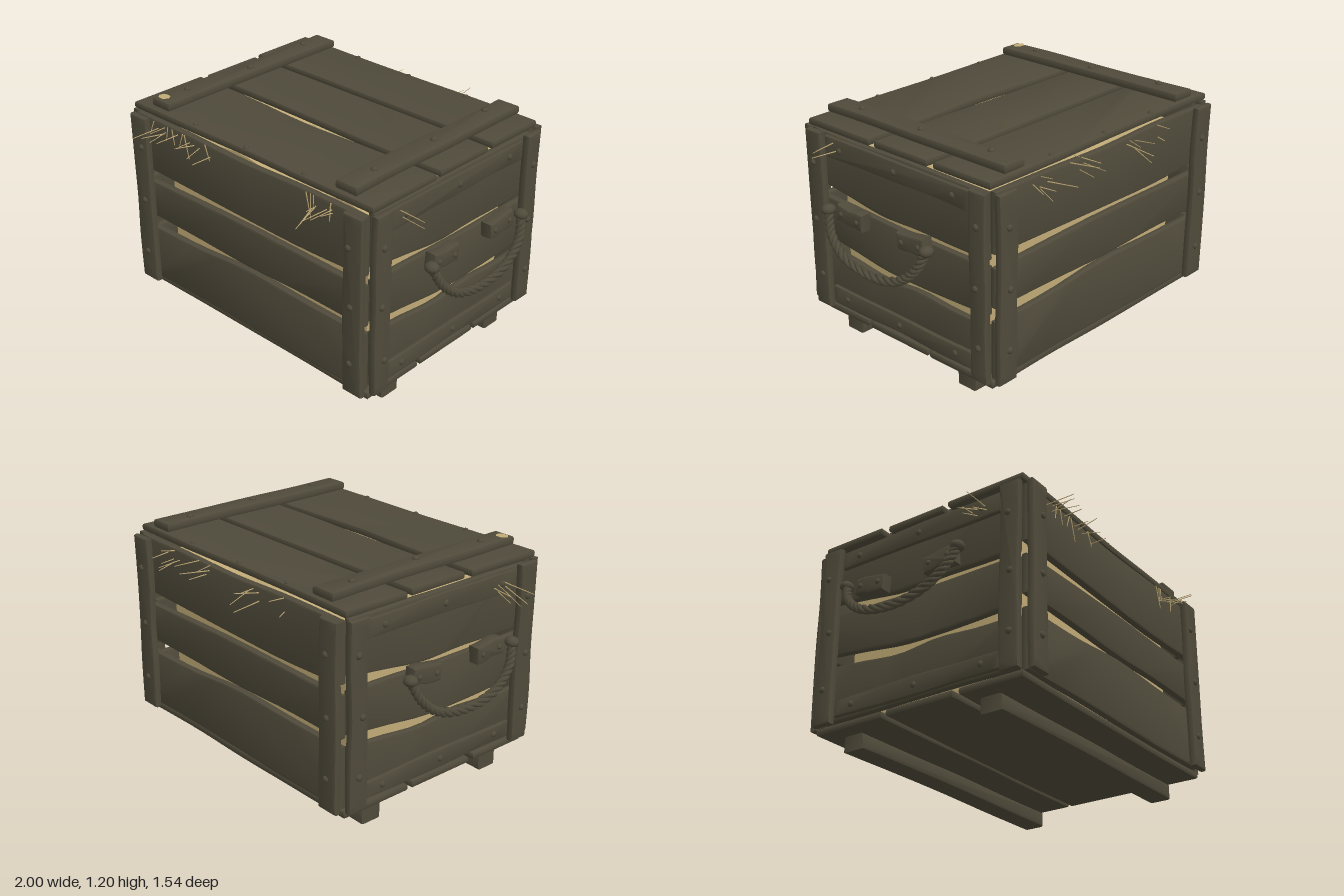
import * as THREE from 'three';
import { toCreasedNormals } from 'three/addons/utils/BufferGeometryUtils.js';

const wood = new THREE.MeshStandardMaterial({ color: 0x4f4a3a });
wood.name = 'weatheredWood';
const straw = new THREE.MeshStandardMaterial({ color: 0xc0aa76 });
straw.name = 'straw';

let seed = 11;
const rand = (a = 0, b = 1) => {
  seed = (seed * 16807) % 2147483647;
  return a + (b - a) * (seed / 2147483647);
};

function add(parent, name, geometry, material = wood) {
  const mesh = new THREE.Mesh(geometry, material);
  mesh.name = name;
  parent.add(mesh);
  return mesh;
}

function group(parent, name) {
  const g = new THREE.Group();
  g.name = name;
  parent.add(g);
  return g;
}

// Worn board along local x from a to b; lo and hi are edge heights (a number gets a slight wobble)
function plank(parent, name, a, b, lo, hi, z, t) {
  const edge = (e) => {
    const ys = Array.isArray(e) ? e : [0, 1, 2, 3, 4].map(() => e + rand(-0.006, 0.006));
    return new THREE.SplineCurve(ys.map((y, i) =>
      new THREE.Vector2(a + (b - a) * i / (ys.length - 1), y))).getPoints(14);
  };
  const bevel = Math.min(0.012, t * 0.3);
  const geo = new THREE.ExtrudeGeometry(new THREE.Shape([...edge(lo), ...edge(hi).reverse()]), {
    depth: t - 2 * bevel, bevelSize: bevel, bevelThickness: bevel, bevelOffset: -bevel, bevelSegments: 2,
  });
  geo.translate(0, 0, z + bevel);
  return add(parent, name, toCreasedNormals(geo, 0.7));
}

// Board standing upright, from x0 to x1 and y0 to y1
function post(parent, name, x0, x1, y0, y1, z, t) {
  plank(parent, name, y0, y1, -x1, -x0, z, t).rotation.z = Math.PI / 2;
}

const boltGeo = new THREE.SphereGeometry(0.017, 10, 6).scale(1, 1, 0.75);
function bolt(parent, x, y, z, s = 1) {
  const m = add(parent, 'bolt', boltGeo);
  m.position.set(x, y, z);
  m.scale.setScalar(s);
}

// One strand wound around a rope path
class Strand extends THREE.Curve {
  constructor(path, phase) {
    super();
    this.path = path;
    this.phase = phase;
  }
  getPoint(t) {
    const tan = this.path.getTangent(t);
    const u = new THREE.Vector3(0, 0, 1).addScaledVector(tan, -tan.z).normalize();
    const v = new THREE.Vector3().crossVectors(tan, u);
    const a = this.phase + t * Math.PI * 16;
    return this.path.getPoint(t).addScaledVector(u, 0.012 * Math.cos(a)).addScaledVector(v, 0.012 * Math.sin(a));
  }
}

// Long wall, facing +z
function longWall(parent, name) {
  const g = group(parent, name);
  plank(g, 'lowerBoard', -0.77, 0.77, 0.15, [0.45, 0.455, 0.485, 0.475, 0.47], 0.575, 0.042);
  plank(g, 'middleBoard', -0.77, 0.77, [0.52, 0.515, 0.505, 0.515, 0.51], [0.72, 0.73, 0.735, 0.73, 0.725], 0.575, 0.042);
  plank(g, 'upperBoard', -0.77, 0.77, [0.79, 0.78, 0.77, 0.765, 0.78], [1.09, 1.085, 1.075, 1.085, 1.08], 0.575, 0.042);
  for (const s of [-1, 1]) {
    post(g, 'cornerPost', s * 0.73 - 0.058, s * 0.73 + 0.058, 0.14, 1.09, 0.618, 0.04);
    for (const y of [0.31, 0.62, 0.925]) bolt(g, s * rand(0.71, 0.73), y, 0.658);
  }
  return g;
}

// Short wall with battens and rope handle, facing +z
function endWall(parent, name) {
  const g = group(parent, name);
  plank(g, 'lowerBoard', -0.57, 0.57, 0.16, [0.46, 0.44, 0.415, 0.435, 0.42, 0.42], 0.745, 0.038);
  plank(g, 'middleBoard', -0.57, 0.57, [0.52, 0.495, 0.465, 0.46, 0.465, 0.475], [0.74, 0.735, 0.725, 0.72, 0.72, 0.72], 0.745, 0.038);
  plank(g, 'upperBoard', -0.57, 0.57, [0.81, 0.78, 0.75, 0.755, 0.75, 0.75], 1.08, 0.745, 0.038);
  for (const [y0, y1] of [[0.17, 0.26], [0.97, 1.07]]) {
    plank(g, 'batten', -0.485, 0.485, y0, y1, 0.78, 0.025);
    for (const x of [-0.38, 0, 0.38]) bolt(g, x, (y0 + y1) / 2, 0.803);
  }
  for (const s of [-1, 1]) {
    post(g, 'cornerPost', s * 0.547 - 0.052, s * 0.547 + 0.052, 0.14, 1.09, 0.787, 0.042);
    for (const y of [0.32, 0.62, 0.925]) bolt(g, s * rand(0.53, 0.56), y, 0.829);

    // Handle block and knot
    const block = group(g, 'handleBlock');
    block.position.set(s * 0.208, 0.757, 0);
    block.rotation.z = s * 0.09;
    plank(block, 'block', -0.088, 0.088, -0.043, 0.043, 0.845, 0.066);
    for (const x of [-0.055, 0.055]) bolt(block, x, 0, 0.911, 0.8);
    const knot = add(g, 'knot', new THREE.SphereGeometry(0.034, 10, 8));
    knot.position.set(s * 0.335, 0.772, 0.925);
    knot.scale.set(1, 0.8, 1.1);
  }

  // Twisted rope
  const path = new THREE.CatmullRomCurve3([
    [-0.335, 0.77, 0.925], [-0.29, 0.67, 0.955], [-0.19, 0.59, 0.971], [0, 0.552, 0.975],
    [0.19, 0.59, 0.971], [0.29, 0.67, 0.955], [0.335, 0.77, 0.925],
  ].map((p) => new THREE.Vector3(...p)));
  for (let i = 0; i < 3; i++) {
    add(g, 'rope', new THREE.TubeGeometry(new Strand(path, i * Math.PI * 2 / 3), 110, 0.0125, 6));
  }
  return g;
}

export function createModel() {
  const model = new THREE.Group();
  model.name = 'crate';
  const body = group(model, 'body');
  body.position.z = -0.02;

  longWall(body, 'frontWall');
  longWall(body, 'backWall').rotation.y = Math.PI;
  endWall(body, 'leftWall').rotation.y = Math.PI / 2;
  endWall(body, 'rightWall').rotation.y = -Math.PI / 2;

  // Floor boards and runners
  const floor = group(body, 'floor');
  floor.rotation.x = -Math.PI / 2;
  floor.position.y = 0.105;
  for (const [lo, hi] of [[-0.6, -0.25], [-0.22, 0.175], [0.195, 0.602]]) {
    plank(floor, 'floorBoard', -0.79, 0.79, lo, hi, 0, 0.038);
  }
  for (const z of [-0.4, 0.4]) {
    plank(body, 'runner', -0.75, 0.75, [0, 0.008, 0.012, 0.01, 0.012], [0.08, 0.083, 0.09, 0.088, 0.092], z - 0.061, 0.122);
  }

  // Lid with cross battens
  const lid = group(body, 'lid');
  lid.rotation.x = -Math.PI / 2;
  lid.position.y = 1.1;
  plank(lid, 'frontLidBoard', -0.8, 0.8, -0.605, [-0.172, -0.175, -0.195, -0.18, -0.172], 0, 0.038);
  plank(lid, 'middleLidBoard', -0.79, 0.795, [-0.132, -0.13, -0.135, -0.145, -0.135], [0.205, 0.21, 0.212, 0.215, 0.21], 0, 0.038);
  plank(lid, 'backLidBoard', -0.8, 0.79, [0.245, 0.25, 0.25, 0.25, 0.252], 0.605, 0, 0.038);
  for (const s of [-1, 1]) {
    post(lid, 'lidBatten', s * 0.627 - 0.062, s * 0.627 + 0.062, -0.585, 0.592, 0.04, 0.045);
    for (const y of [-0.4, 0.01, 0.43]) bolt(lid, s * 0.627 + rand(-0.03, 0.02), y, 0.086, 1.1);
  }
  for (const s of [-1, 1]) for (const x of [-0.37, -0.01, 0.37]) bolt(lid, x, s * 0.58, 0.038, 0.8);
  const chip = add(lid, 'chippedCorner', new THREE.CircleGeometry(0.036, 6), straw);
  chip.position.set(-0.648, -0.54, 0.0865);
  chip.scale.y = 0.8;

  // Straw filling with an uneven top
  const fill = new THREE.BoxGeometry(1.36, 0.85, 0.98, 14, 1, 10).translate(0, 0.58, 0);
  const pos = fill.attributes.position;
  for (let i = 0; i < pos.count; i++) {
    if (pos.getY(i) > 0.9) pos.setY(i, 1.0 + 0.03 * Math.sin(pos.getX(i) * 9) * Math.cos(pos.getZ(i) * 8));
  }
  fill.computeVertexNormals();
  add(body, 'strawFilling', toCreasedNormals(fill, 0.6), straw);

  // Loose stalks poking out under the lid
  const stalks = group(body, 'strawStalks');
  const stalkGeo = new THREE.CylinderGeometry(0.002, 0.0035, 1, 4).translate(0, 0.5, 0);
  const up = new THREE.Vector3(0, 1, 0);
  const stalk = (x, y, z, dx, dy, dz, len) => {
    const m = add(stalks, 'stalk', stalkGeo, straw);
    m.position.set(x, y, z);
    m.quaternion.setFromUnitVectors(up, new THREE.Vector3(dx, dy, dz).normalize());
    m.scale.y = len;
  };
  for (const [x0, x1, s, n] of [[-0.62, -0.2, 1, 9], [0.38, 0.62, 1, 6], [-0.42, -0.1, -1, 6], [0.15, 0.68, -1, 9]]) {
    for (let i = 0; i < n; i++) {
      stalk(rand(x0, x1), rand(1.02, 1.08), s * 0.57, rand(-0.25, 0.25), rand(-0.4, 0.2), s, rand(0.09, 0.21));
    }
  }
  for (const [s, n] of [[-1, 5], [1, 2]]) {
    for (let i = 0; i < n; i++) {
      stalk(s * 0.76, rand(1.0, 1.06), rand(0.3, 0.44), s, rand(-0.5, 0.1), rand(-0.2, 0.2), rand(0.1, 0.22));
    }
  }
  // Stalks resting on the upper front board and lying below the lid gaps
  for (let i = 0; i < 10; i++) {
    stalk(i < 6 ? rand(-0.65, -0.25) : rand(0.35, 0.6), 1.08, 0.62, rand(-0.5, 0.5), -1, 0.02, rand(0.06, 0.13));
  }
  for (let i = 0; i < 50; i++) {
    stalk(rand(-0.66, 0.66), 1.05, (i % 2 ? 0.15 : -0.23) + rand(-0.05, 0.05), rand(-1, 1), rand(-0.1, 0.1), rand(-0.6, 0.6), rand(0.08, 0.18));
  }
  return model;
}
